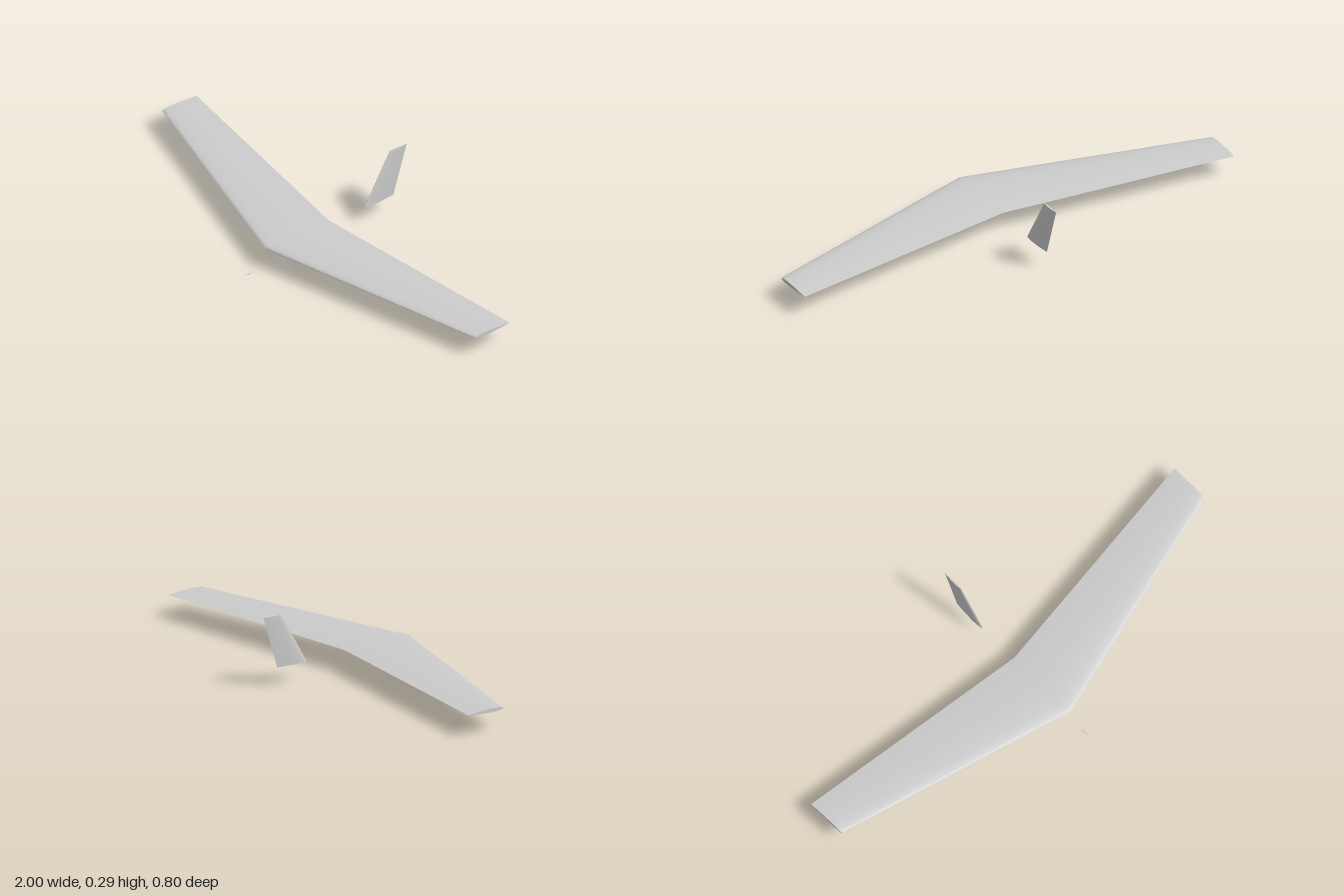
import * as THREE from 'three';
import { toCreasedNormals } from 'three/addons/utils/BufferGeometryUtils.js';

const N = 24; // panels along each side of the aerofoil

// Closed symmetric aerofoil loop as [chord fraction, half thickness]:
// trailing edge, over the top to the nose, back underneath.
function aerofoil(thickness) {
  const loop = [];
  for (let i = 0; i < 2 * N; i++) {
    const a = (i / N) * Math.PI;
    const c = (1 + Math.cos(a)) / 2;
    const t = 5 * thickness * (0.2969 * Math.sqrt(c) - 0.126 * c
      - 0.3516 * c ** 2 + 0.2843 * c ** 3 - 0.1036 * c ** 4);
    loop.push([c, i === 0 || i === N ? 0 : i < N ? t : -t]);
  }
  return loop;
}

// Loft the aerofoil through stations [span x, leading z, trailing z], ends capped.
function loftSurface(stations, thickness) {
  const loop = aerofoil(thickness), n = loop.length;
  const positions = [], index = [];
  for (const [x, lead, trail] of stations) {
    const chord = lead - trail;
    for (const [c, t] of loop) positions.push(x, t * chord, lead - c * chord);
  }
  for (let s = 0; s < stations.length - 1; s++) {
    for (let i = 0; i < n; i++) {
      const a = s * n + i, b = s * n + (i + 1) % n;
      index.push(a, b, b + n, a, b + n, a + n);
    }
  }
  const end = (stations.length - 1) * n;
  for (let i = 1; i < n - 1; i++) {
    index.push(0, i + 1, i, end, end + i, end + i + 1);
  }
  const geometry = new THREE.BufferGeometry();
  geometry.setAttribute('position', new THREE.Float32BufferAttribute(positions, 3));
  geometry.setIndex(index);
  return toCreasedNormals(geometry, 0.7);
}

export function createModel() {
  const model = new THREE.Group();
  model.name = 'glider';
  const grey = new THREE.MeshStandardMaterial({ color: 0xcccccc });

  const add = (name, geometry) => {
    const mesh = new THREE.Mesh(geometry, grey);
    mesh.name = name;
    model.add(mesh);
    return mesh;
  };

  // Swept, tapered main wing
  const wing = add('wing', loftSurface([
    [-1, 0.038, -0.133],
    [0, 0.308, -0.01],
    [1, 0.038, -0.133],
  ], 0.094));
  wing.position.y = 0.09;

  // Upright tail fin: a lofted surface turned so its span points up
  const fin = loftSurface([
    [0.075, -0.19, -0.333],
    [0.29, -0.314, -0.4],
  ], 0.09);
  fin.rotateZ(Math.PI / 2);
  add('tailFin', fin);

  // Tiny teardrop pod ahead of and below the wing, nose at +z
  const profile = [[0, 0], [0.0008, 0.004], [0.0016, 0.014], [0.0021, 0.023],
    [0.0018, 0.029], [0.001, 0.032], [0, 0.033]];
  const pod = new THREE.LatheGeometry(profile.map(([r, h]) => new THREE.Vector2(r, h)), 16);
  pod.rotateX(Math.PI / 2);
  add('nosePod', pod).position.set(0, 0.0021, 0.367);

  return model;
}
